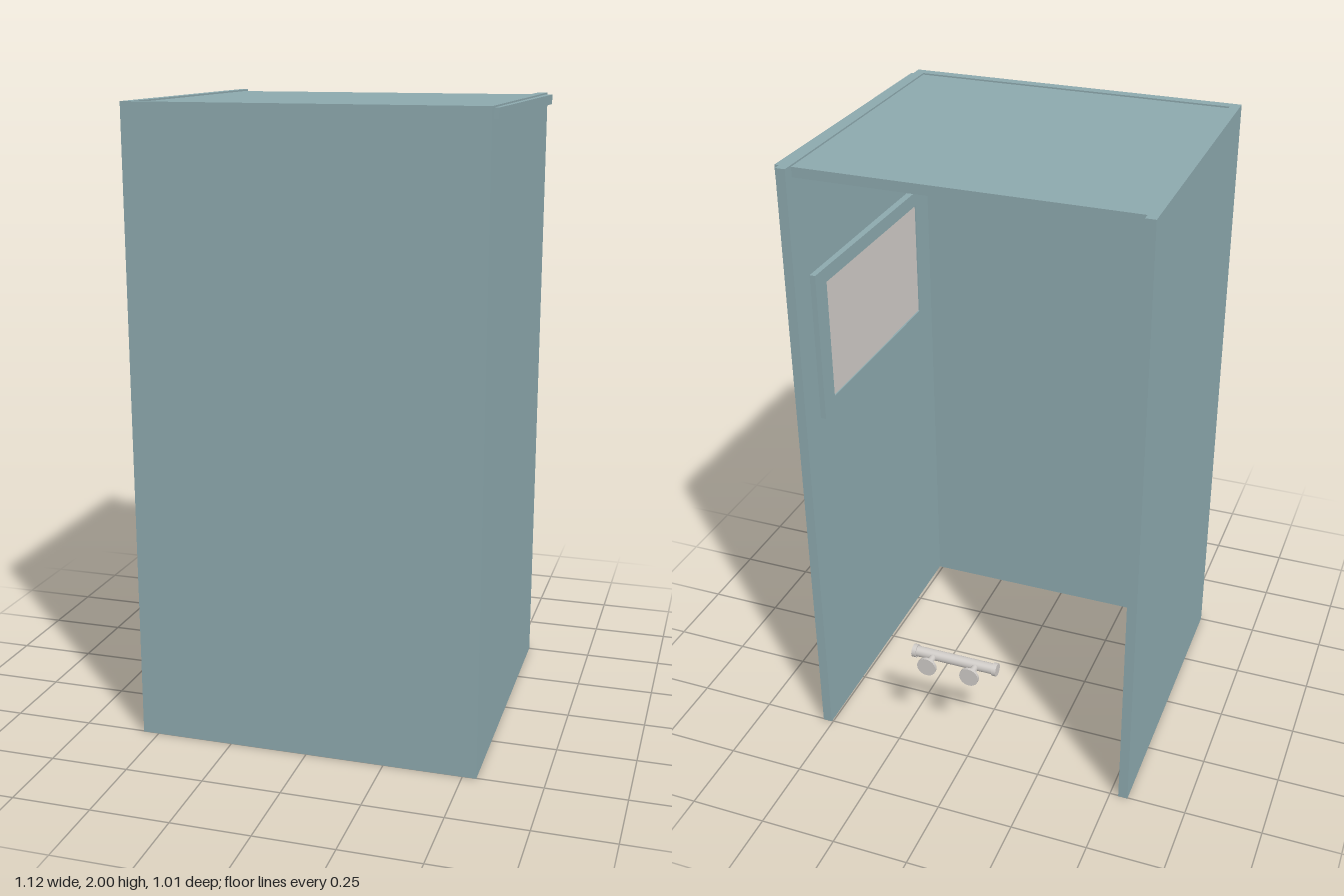
import * as THREE from 'three';

export function createModel() {
  const model = new THREE.Group();
  const panelColour = new THREE.MeshStandardMaterial({ color: 0x8ca8ad });
  panelColour.name = 'grey blue panel';
  const metal = new THREE.MeshStandardMaterial({ color: 0xcecac6 });
  metal.name = 'pale metal';

  const add = (parent, name, geometry, material, x, y, z) => {
    const mesh = new THREE.Mesh(geometry, material);
    mesh.name = name;
    mesh.position.set(x, y, z);
    parent.add(mesh);
    return mesh;
  };

  // Side walls lean very slightly in plan, from back to front
  const depth = 1.006;
  const sideWall = (name, x) => {
    const g = new THREE.BoxGeometry(0.031, 2, depth);
    const p = g.attributes.position;
    for (let i = 0; i < p.count; i++) p.setX(i, p.getX(i) + 0.008 * p.getZ(i));
    g.computeVertexNormals();
    add(model, name, g, panelColour, x, 1, 0);
  };
  sideWall('leftWall', 0.524);
  sideWall('rightWall', -0.54);

  // Front wall between the sides
  add(model, 'frontWall', new THREE.BoxGeometry(1.034, 2, 0.033), panelColour, -0.004, 1, 0.4865);

  // Roof panel, whose edge pokes out through the left wall
  add(model, 'roof', new THREE.BoxGeometry(1.089, 0.031, 0.939), panelColour, 0.0125, 1.9795, 0.0025);

  // Framed pane on the inside of the left wall
  const pane = new THREE.Group();
  pane.name = 'framedPane';
  pane.position.set(0.51, 1.4, -0.013);
  pane.rotation.y = -Math.PI / 2;
  model.add(pane);
  const rect = (Type, w, h) => new Type([
    new THREE.Vector2(-w / 2, -h / 2), new THREE.Vector2(w / 2, -h / 2),
    new THREE.Vector2(w / 2, h / 2), new THREE.Vector2(-w / 2, h / 2),
  ]);
  const outline = rect(THREE.Shape, 0.794, 0.484);
  outline.holes.push(rect(THREE.Path, 0.66, 0.39));
  add(pane, 'frame', new THREE.ExtrudeGeometry(outline, { depth: 0.023, bevelEnabled: false }), panelColour, 0, 0, 0);
  add(pane, 'pane', new THREE.BoxGeometry(0.664, 0.394, 0.009), metal, 0, 0, 0.0135);

  // Horizontal handle near the open back, with two round mounts
  const handle = new THREE.Group();
  handle.name = 'handle';
  handle.position.set(0.078, 0.313, -0.4);
  model.add(handle);
  const rod = (name, r, length, axis, x, z) => {
    const mesh = add(handle, name, new THREE.CylinderGeometry(r, r, length, 24), metal, x, 0, z);
    mesh.rotation[axis] = Math.PI / 2;
  };
  rod('bar', 0.018, 0.27, 'z', 0, 0);
  for (const s of [-1, 1]) {
    rod('barCap', 0.022, 0.015, 'z', s * 0.1425, 0);
    rod('stem', 0.011, 0.06, 'x', s * 0.075, -0.03);
    rod('mountDisc', 0.033, 0.01, 'x', s * 0.075, -0.064);
  }
  return model;
}
